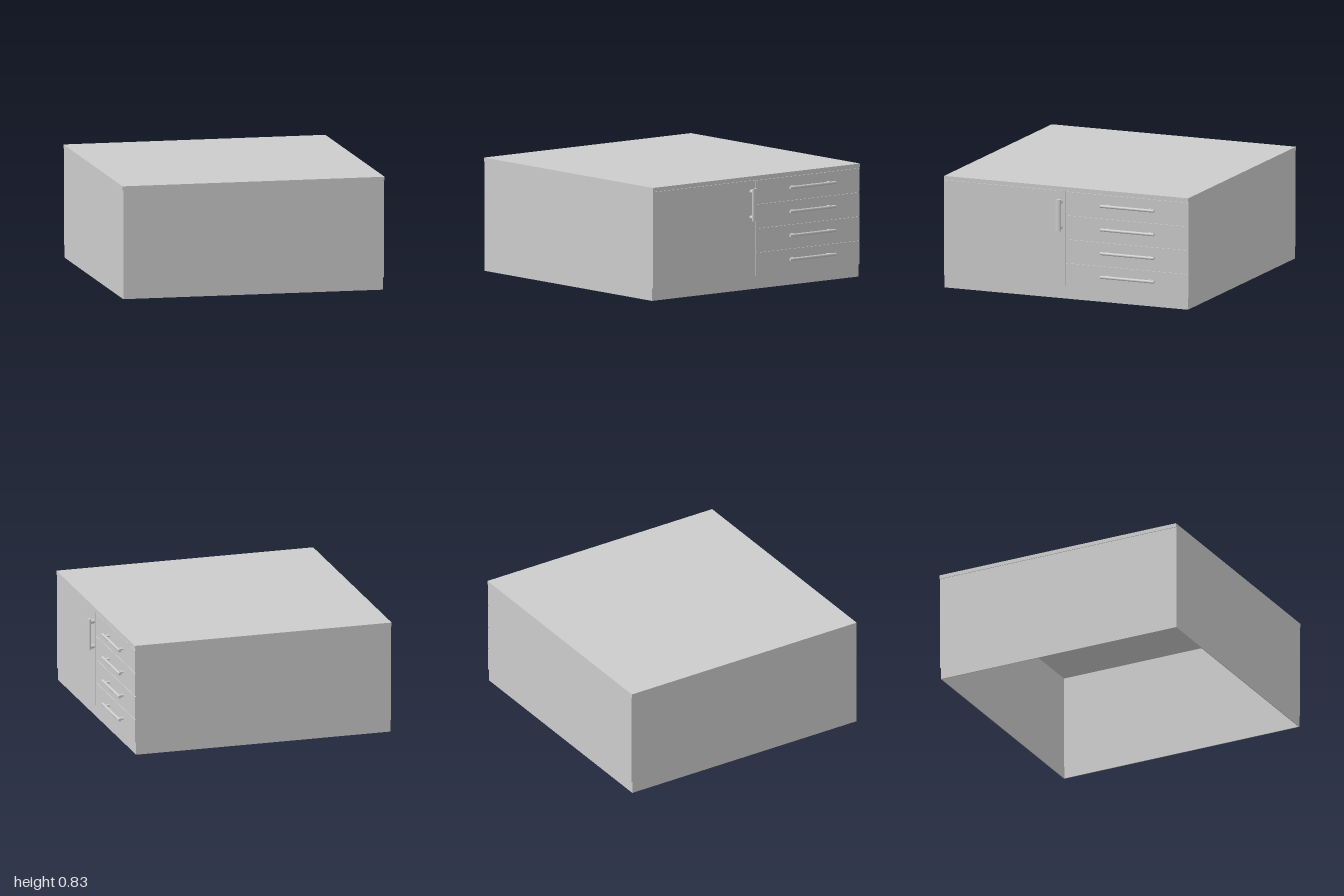
import * as THREE from 'three';

const grey = new THREE.MeshStandardMaterial({ color: 0xcccccc });

// Box given by its minimum and maximum corners
function block(name, x0, x1, y0, y1, z0, z1) {
  const mesh = new THREE.Mesh(new THREE.BoxGeometry(x1 - x0, y1 - y0, z1 - z0), grey);
  mesh.position.set((x0 + x1) / 2, (y0 + y1) / 2, (z0 + z1) / 2);
  mesh.name = name;
  return mesh;
}

// Four thin walls, open above and below
function shell(name, x0, x1, y0, y1, z0, z1) {
  const t = 0.006;
  const group = new THREE.Group();
  group.name = name;
  group.add(
    block('rightWall', x0, x0 + t, y0, y1, z0, z1),
    block('leftWall', x1 - t, x1, y0, y1, z0, z1),
    block('backWall', x0 + t, x1 - t, y0, y1, z0, z0 + t),
    block('frontWall', x0 + t, x1 - t, y0, y1, z1 - t, z1)
  );
  return group;
}

// Upright bar handle: oval bar on two oval posts, standing out along +x
function handle(name, length, postGap, width) {
  const group = new THREE.Group();
  group.name = name;
  const bar = new THREE.Mesh(new THREE.CylinderGeometry(1, 1, length, 20), grey);
  bar.name = 'bar';
  bar.scale.set(0.011, 1, width / 2);
  bar.position.x = 0.037;
  group.add(bar);
  for (const side of [-1, 1]) {
    const post = new THREE.Mesh(new THREE.CylinderGeometry(1, 1, 0.037, 16).rotateZ(Math.PI / 2), grey);
    post.name = 'post';
    post.scale.set(1, 0.015, width * 0.42);
    post.position.set(0.0185, side * postGap / 2, 0);
    group.add(post);
  }
  return group;
}

export function createModel() {
  const model = new THREE.Group();
  model.name = 'cabinet';

  // Worktop, hollow body and recessed plinth
  model.add(block('worktop', -1, 0.955, 0.803, 0.832, -0.97, 0.97));
  model.add(shell('carcass', -0.995, 0.945, 0.09, 0.803, -0.968, 0.97));
  model.add(shell('plinth', -0.995, 0.943, 0, 0.09, -0.963, 0.97));

  // Door on the front half
  const face = 0.952;
  model.add(block('door', 0.945, face, 0.093, 0.8, 0.01, 0.97));
  const doorHandle = handle('doorHandle', 0.236, 0.19, 0.042);
  doorHandle.position.set(face, 0.625, 0.046);
  model.add(doorHandle);

  // Four drawers on the back half
  const pitch = 0.1775;
  for (let i = 0; i < 4; i++) {
    const y = 0.093 + i * pitch;
    model.add(block('drawerFront', 0.945, face, y, y + pitch - 0.006, -0.966, 0.001));
    const pull = handle('drawerHandle', 0.425, 0.335, 0.022);
    pull.rotation.x = Math.PI / 2;
    pull.position.set(face, 0.193 + i * 0.176, -0.5);
    model.add(pull);
  }
  return model;
}
